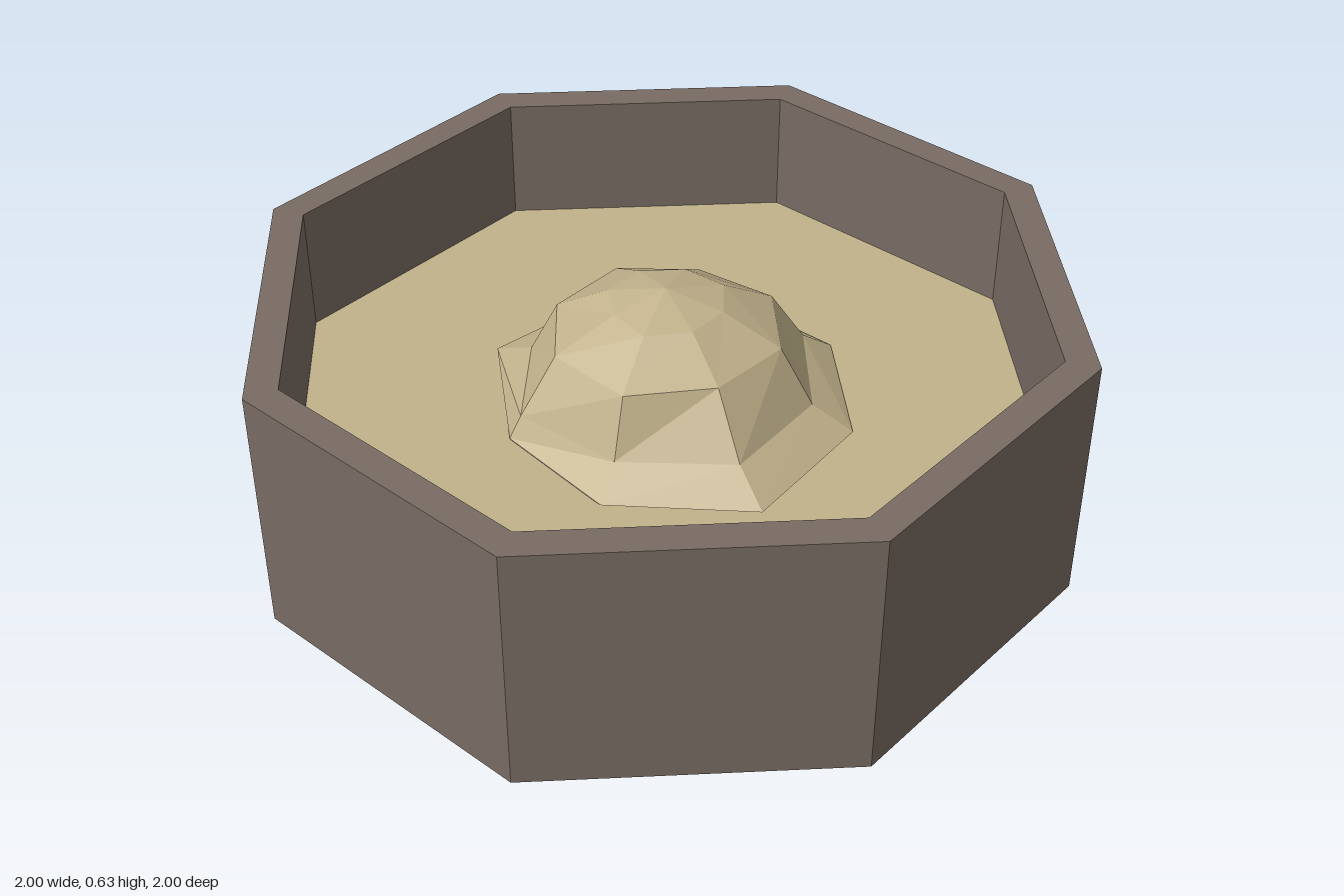
import * as THREE from 'three';

const SIDES = 8, HEIGHT = 0.63, FLOOR = 0.315;

// Octagon outline with a corner on each axis
function octagon(radius, PathType) {
  const points = [];
  for (let i = 0; i < SIDES; i++) {
    const a = (i / SIDES) * Math.PI * 2;
    points.push(new THREE.Vector2(Math.cos(a) * radius, Math.sin(a) * radius));
  }
  return new PathType(points);
}

// Irregular lens-shaped heap: rings of eight points, mirrored below the sand level
function moundGeometry() {
  // corner radii start at +x and turn towards +z
  const rings = [
    { y: 0.27, r: [0.14, 0.14, 0.15, 0.13, 0.14, 0.14, 0.14, 0.15] },
    { y: 0.2, r: [0.28, 0.27, 0.29, 0.28, 0.27, 0.27, 0.25, 0.28] },
    { y: 0.06, r: [0.36, 0.38, 0.35, 0.37, 0.34, 0.36, 0.35, 0.37] },
    { y: 0.005, r: [0.46, 0.49, 0.44, 0.4, 0.43, 0.42, 0.44, 0.45] },
  ];
  const positions = [0, 0.305, 0];
  const levels = [...rings, ...rings.slice(0, 3).reverse().map(({ y, r }) => ({ y: -y, r }))];
  levels.forEach(({ y, r }, level) => r.forEach((radius, i) => {
    const a = (i / SIDES) * Math.PI * 2;
    const lift = level === 3 && i === 4 ? 0.03 : 0;
    positions.push(Math.cos(a) * radius, y + lift, Math.sin(a) * radius);
  }));
  positions.push(0, -0.305, 0);

  const index = [], last = positions.length / 3 - 1;
  const at = (level, i) => 1 + level * SIDES + (i % SIDES);
  for (let i = 0; i < SIDES; i++) {
    index.push(0, at(0, i + 1), at(0, i));
    for (let k = 0; k < levels.length - 1; k++) {
      const a = at(k, i), b = at(k, i + 1), c = at(k + 1, i), d = at(k + 1, i + 1);
      index.push(a, b, d, a, d, c);
    }
    index.push(last, at(levels.length - 1, i), at(levels.length - 1, i + 1));
  }
  const geometry = new THREE.BufferGeometry();
  geometry.setAttribute('position', new THREE.Float32BufferAttribute(positions, 3));
  geometry.setIndex(index);
  const flat = geometry.toNonIndexed();
  flat.computeVertexNormals();
  return flat;
}

export function createModel() {
  const group = new THREE.Group();
  group.name = 'sandPit';

  const stone = new THREE.MeshStandardMaterial({ color: 0x796b63, flatShading: true });
  stone.name = 'brown frame';
  const sand = new THREE.MeshStandardMaterial({ color: 0xc2b28c, flatShading: true, side: THREE.DoubleSide });
  sand.name = 'pale sand';

  const add = (name, geometry, material, y) => {
    const mesh = new THREE.Mesh(geometry, material);
    mesh.name = name;
    mesh.position.y = y;
    group.add(mesh);
  };

  // Open octagonal frame
  const outline = octagon(1, THREE.Shape);
  outline.holes.push(octagon(0.92, THREE.Path));
  const frame = new THREE.ExtrudeGeometry(outline, { depth: HEIGHT, bevelEnabled: false });
  add('frame', frame.rotateX(-Math.PI / 2), stone, 0);

  // Flat sheet of sand halfway up the frame
  add('sandFloor', new THREE.CircleGeometry(0.92, SIDES).rotateX(-Math.PI / 2), sand, FLOOR);

  // Heap in the middle
  add('sandMound', moundGeometry(), sand, FLOOR);

  return group;
}
